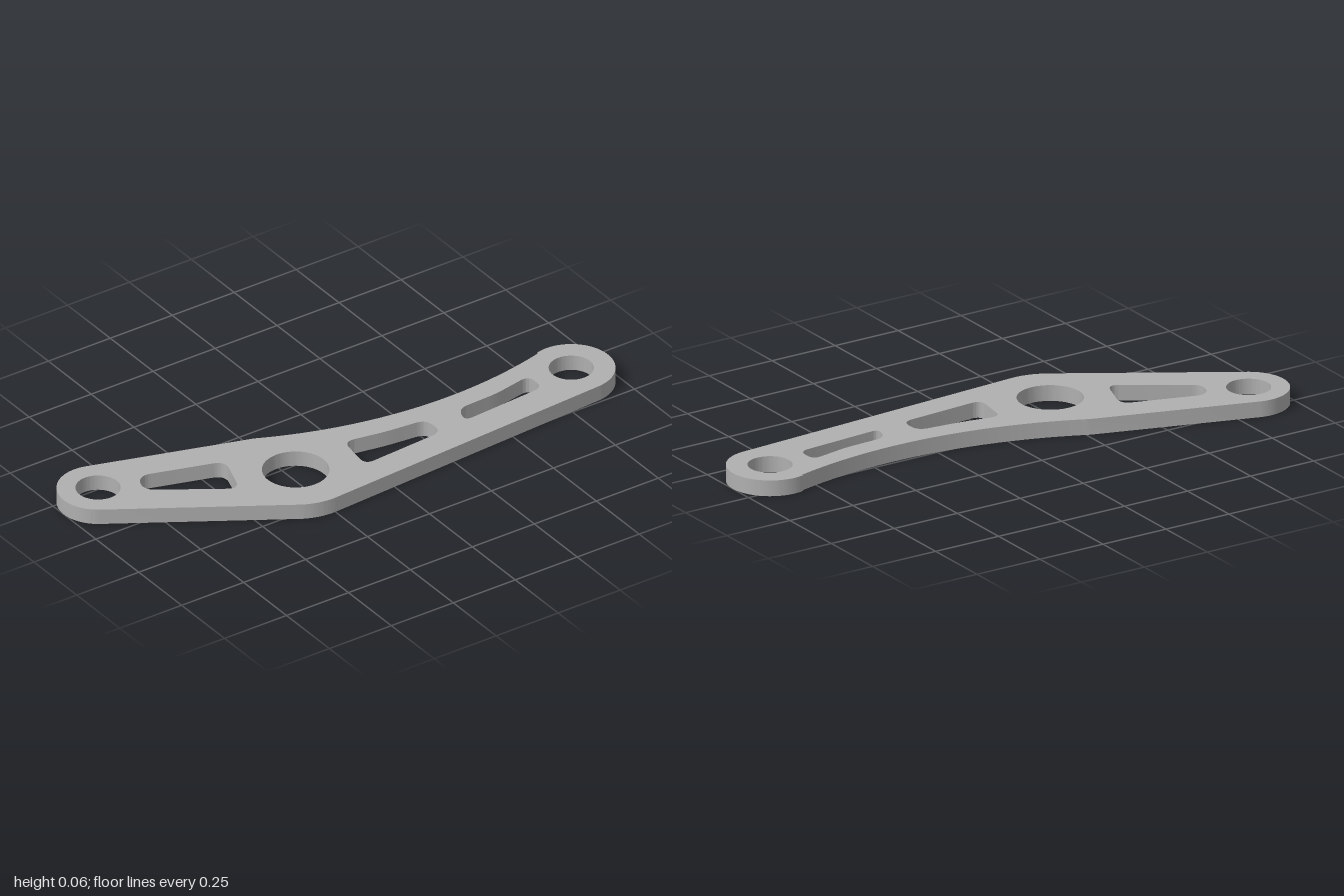
import * as THREE from 'three';
import { mergeGeometries, toCreasedNormals } from 'three/addons/utils/BufferGeometryUtils.js';

const H = 0.056;          // plate thickness
const SEG = 40;           // segments per curve
const rad = THREE.MathUtils.degToRad;

// Plan coordinates: x to the right, y towards the back (-z)
const END_L = [-0.862, 0.187], HUB = [-0.259, -0.094], END_R = [0.853, -0.094];

// Closed path with rounded corners
function roundedHole(corners, r) {
  const path = new THREE.Path();
  const pts = corners.map(([x, y]) => new THREE.Vector2(x, y));
  pts.forEach((p, i) => {
    const prev = pts[(i + pts.length - 1) % pts.length], next = pts[(i + 1) % pts.length];
    const a = p.clone().add(prev.clone().sub(p).setLength(r));
    const b = p.clone().add(next.clone().sub(p).setLength(r));
    if (i === 0) path.moveTo(a.x, a.y); else path.lineTo(a.x, a.y);
    path.quadraticCurveTo(p.x, p.y, b.x, b.y);
  });
  path.closePath();
  return path;
}

function circleHole([x, y], r) {
  return new THREE.Path().absarc(x, y, r, 0, Math.PI * 2, true);
}

// Arm outline with its lightening slots and bores
function armShape(rightBore) {
  const s = new THREE.Shape();
  s.absarc(...END_L, 0.138, rad(72.7), rad(238.5), false);
  s.absarc(...HUB, 0.219, rad(238.5), rad(273.7), false);
  s.absarc(...END_R, 0.147, rad(273.7), rad(465), false);
  s.absarc(0.412, 1.55, 1.56, rad(-75), rad(-115.6), true);
  s.closePath();
  s.holes.push(
    circleHole(END_L, 0.075), circleHole(HUB, 0.112), circleHole(END_R, rightBore),
    roundedHole([[-0.711, 0.171], [-0.422, 0.08], [-0.479, -0.086], [-0.749, 0.091]], 0.045),
    roundedHole([[-0.03, -0.043], [0.123, -0.071], [0.273, -0.086], [0.273, -0.176], [-0.051, -0.198]], 0.04),
    roundedHole([[0.401, -0.091], [0.556, -0.085], [0.706, -0.056], [0.706, -0.139], [0.374, -0.163]], 0.036)
  );
  return s;
}

// Keep positions only, so that pieces can be merged
function bare(geo) {
  const g = geo.index ? geo.toNonIndexed() : geo;
  const out = new THREE.BufferGeometry();
  out.setAttribute('position', g.getAttribute('position'));
  return out;
}

export function createModel() {
  const metal = new THREE.MeshStandardMaterial({ color: 0xb0b0b0 });
  metal.name = 'grey metal';
  const group = new THREE.Group();
  group.name = 'leverArm';

  // Walls of the outline and all openings
  const solid = new THREE.ExtrudeGeometry(armShape(0.075), { depth: H, bevelEnabled: false, curveSegments: SEG });
  const side = solid.groups[1];
  const pos = solid.getAttribute('position').array;
  const walls = new THREE.BufferGeometry();
  walls.setAttribute('position',
    new THREE.BufferAttribute(pos.slice(side.start * 3, (side.start + side.count) * 3), 3));

  // Top face, and bottom face opened wider around the recess
  const top = new THREE.ShapeGeometry(armShape(0.075), SEG).translate(0, 0, H);
  const bottom = new THREE.ShapeGeometry(armShape(0.127), SEG);
  bottom.index.array.reverse();

  const plate = mergeGeometries([walls, bare(top), bare(bottom)]).rotateX(-Math.PI / 2);
  const plateMesh = new THREE.Mesh(toCreasedNormals(plate, rad(30)), metal);
  plateMesh.name = 'armPlate';
  group.add(plateMesh);

  // Ring groove around the right-hand bore, on the underside
  const profile = [[0.075, 0], [0.1, 0], [0.1, 0.016], [0.127, 0.016], [0.127, 0]]
    .map(([r, y]) => new THREE.Vector2(r, y));
  const groove = bare(new THREE.LatheGeometry(profile, SEG * 2));
  const grooveMesh = new THREE.Mesh(toCreasedNormals(groove, rad(30)), metal);
  grooveMesh.position.set(END_R[0], 0, -END_R[1]);
  grooveMesh.name = 'undersideGroove';
  group.add(grooveMesh);

  return group;
}
